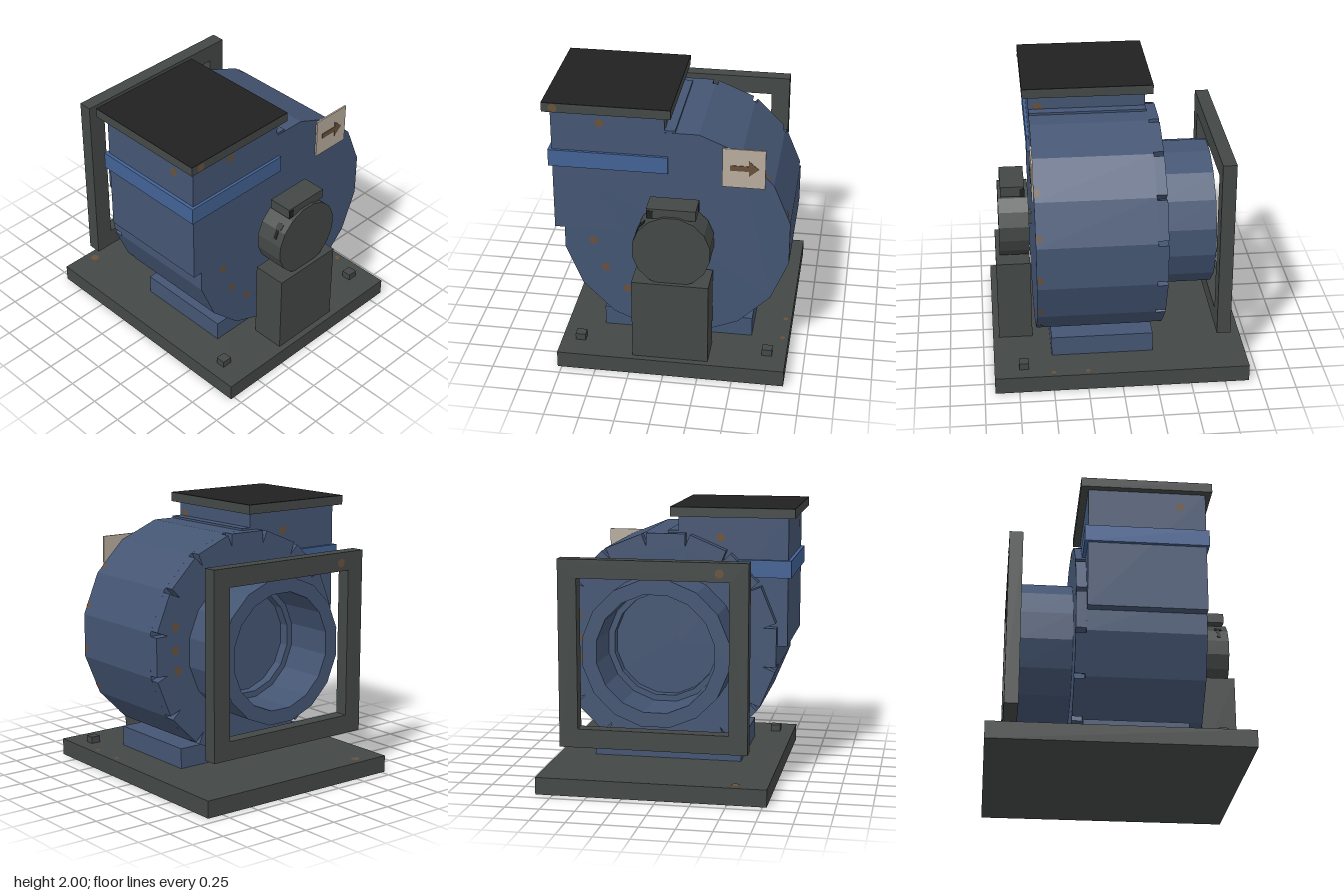
import * as THREE from 'three';

const mat = (name, color) => {
  const m = new THREE.MeshStandardMaterial({ color });
  m.name = name;
  return m;
};

export function createModel() {
  const blue = mat('housingBlue', 0x445573);
  const bandBlue = mat('bandBlue', 0x426294);
  const grey = mat('steelGrey', 0x434846);
  const black = mat('black', 0x212121);
  const cream = mat('signCream', 0xb8ad9e);
  const rust = mat('rustBrown', 0x68513b);

  const model = new THREE.Group();
  const CX = 0.05, CY = 1.0, SIDES = 16, STEP = Math.PI / 8;
  const APOTHEM = 0.809;

  const add = (name, geo, material, parent = model) => {
    const m = new THREE.Mesh(geo, material);
    m.name = name;
    parent.add(m);
    return m;
  };
  // Box given by its limits on each axis
  const box = (name, material, x0, x1, y0, y1, z0, z1) => {
    const m = add(name, new THREE.BoxGeometry(x1 - x0, y1 - y0, z1 - z0), material);
    m.position.set((x0 + x1) / 2, (y0 + y1) / 2, (z0 + z1) / 2);
    return m;
  };
  // Regular polygon whose flats face the axes
  const polygon = (r) => Array.from({ length: SIDES }, (_, i) => {
    const a = (i + 0.5) * STEP;
    return new THREE.Vector2(r * Math.cos(a), r * Math.sin(a));
  });
  // Outline pushed along z, around the fan axis, with an optional hole
  const prism = (name, material, points, z0, z1, hole) => {
    const shape = new THREE.Shape(points);
    if (hole) shape.holes.push(new THREE.Path(hole));
    const geo = new THREE.ExtrudeGeometry(shape, { depth: z1 - z0, bevelEnabled: false });
    geo.translate(CX, CY, z0);
    return add(name, geo, material);
  };

  // Base, feet and bolts
  box('basePlate', grey, -0.78, 0.875, 0, 0.125, -0.925, 0.925);
  box('housingFoot', blue, -0.5, 0.6, 0.125, 0.275, -0.245, 0.5);
  for (const x of [-0.642, 0.735]) box('anchorBolt', grey, x - 0.037, x + 0.037, 0.125, 0.175, 0.675, 0.745);

  // Scroll housing
  prism('scrollHousing', blue, polygon(0.825), -0.245, 0.605);

  // Back rim with V notches at the corners and the inlet bore
  const rim = [];
  for (let i = 0; i < SIDES; i++) {
    const a = i * STEP, c = Math.cos(a), s = Math.sin(a);
    for (const t of [-0.142, 0.142]) {
      rim.push(new THREE.Vector2(APOTHEM * c - t * s, APOTHEM * s + t * c));
    }
    const b = a + STEP / 2;
    rim.push(new THREE.Vector2(0.728 * Math.cos(b), 0.728 * Math.sin(b)));
  }
  prism('backRim', blue, rim, -0.32, -0.245, polygon(0.385));

  // Inlet duct and its square frame
  prism('inletDuct', blue, polygon(0.535), -0.7, -0.32, polygon(0.43));
  const square = (h) => [[-h, -h], [h, -h], [h, h], [-h, h]].map(([x, y]) => new THREE.Vector2(x, y));
  prism('inletFrame', grey, square(0.675), -0.8, -0.7, square(0.54));

  // Outlet, cut-off strip, band and flange
  box('outletDuct', blue, -0.83, -0.03, 1.0, 1.93, -0.245, 0.605);
  box('cutoffStrip', blue, -0.1, 0.045, 1.7, 1.825, -0.245, 0.603);
  box('outletBand', bandBlue, -0.855, -0.005, 1.5, 1.625, -0.27, 0.625);
  box('outletFlange', grey, -0.88, 0.02, 1.93, 1.995, -0.3, 0.65);
  box('outletOpening', black, -0.88, 0.02, 1.995, 2.0, -0.3, 0.65);

  // Motor on its pedestal
  box('motorPedestal', grey, -0.23, 0.32, 0.125, 0.75, 0.63, 0.88);
  prism('motor', grey, polygon(0.28), 0.63, 0.85);
  box('motorShaft', grey, 0.01, 0.09, 0.96, 1.04, 0.6, 0.635);
  box('terminalBox', grey, -0.125, 0.222, 1.255, 1.33, 0.655, 0.83);
  box('terminalMarkFront', black, -0.125, -0.08, 1.255, 1.315, 0.83, 0.833);
  box('terminalMarkSide', black, 0.222, 0.225, 1.255, 1.315, 0.655, 0.69);

  // Rotation arrow wrapped over two motor facets
  const motorMark = (angle, shift, length, width) => {
    const r = 0.276, a = Math.PI - angle;
    const m = add('rotationArrow', new THREE.BoxGeometry(0.004, length, width), black);
    m.position.set(CX + r * Math.cos(a) + shift * Math.sin(a), CY + r * Math.sin(a) - shift * Math.cos(a), 0.78);
    m.rotation.z = a;
  };
  motorMark(STEP, 0.02, 0.07, 0.025);
  motorMark(2 * STEP, -0.025, 0.05, 0.05);

  // Sign with an arrow
  box('sign', cream, 0.375, 0.675, 1.43, 1.725, 0.605, 0.618);
  const arrow = new THREE.Shape([
    [-0.1, -0.02], [0.03, -0.02], [0.03, -0.06], [0.1, 0], [0.03, 0.06], [0.03, 0.02], [-0.1, 0.02],
  ].map(([x, y]) => new THREE.Vector2(x, y)));
  const arrowGeo = new THREE.ExtrudeGeometry(arrow, { depth: 0.004, bevelEnabled: false });
  add('signArrow', arrowGeo, rust).position.set(0.53, 1.58, 0.618);

  // Rust spots: position, then the direction they face
  const spot = (x, y, z, nx, ny, nz, r = 0.032) => {
    const m = add('rustSpot', new THREE.CircleGeometry(r, 10), rust);
    const n = new THREE.Vector3(nx, ny, nz).normalize();
    m.quaternion.setFromUnitVectors(new THREE.Vector3(0, 0, 1), n);
    m.position.set(x, y, z).addScaledVector(n, 0.003);
  };
  for (const [x, y] of [[-0.485, 1.85], [-0.55, 0.91], [-0.465, 0.69], [-0.31, 0.52]]) spot(x, y, 0.605, 0, 0, 1);
  spot(-0.8, 1.963, 0.65, 0, 0, 1);
  spot(-0.03, 1.845, 0.535, 1, 0, 0);
  spot(-0.83, 1.82, 0.42, -1, 0, 0);
  spot(-0.55, 0.125, -0.85, 0, 1, 0);
  spot(0.83, 0.125, 0.5, 0, 1, 0, 0.018);
  spot(0.83, 0.125, 0.25, 0, 1, 0, 0.018);
  for (let k = -2; k <= 2; k++) {
    const c = Math.cos(k * STEP), s = Math.sin(k * STEP), t = -0.09;
    spot(CX + APOTHEM * c - t * s, CY + APOTHEM * s + t * c, 0.58, c, s, 0, 0.025);
  }
  // Turned to face backwards
  for (const [x, y, z] of [[-0.42, 1.6, -0.8], [-0.34, 1.78, -0.245], [0.7, 1.2, -0.32], [0.7, 1.03, -0.32], [0.68, 0.88, -0.32]]) {
    spot(x, y, z, 0, 0, -1);
  }

  return model;
}
